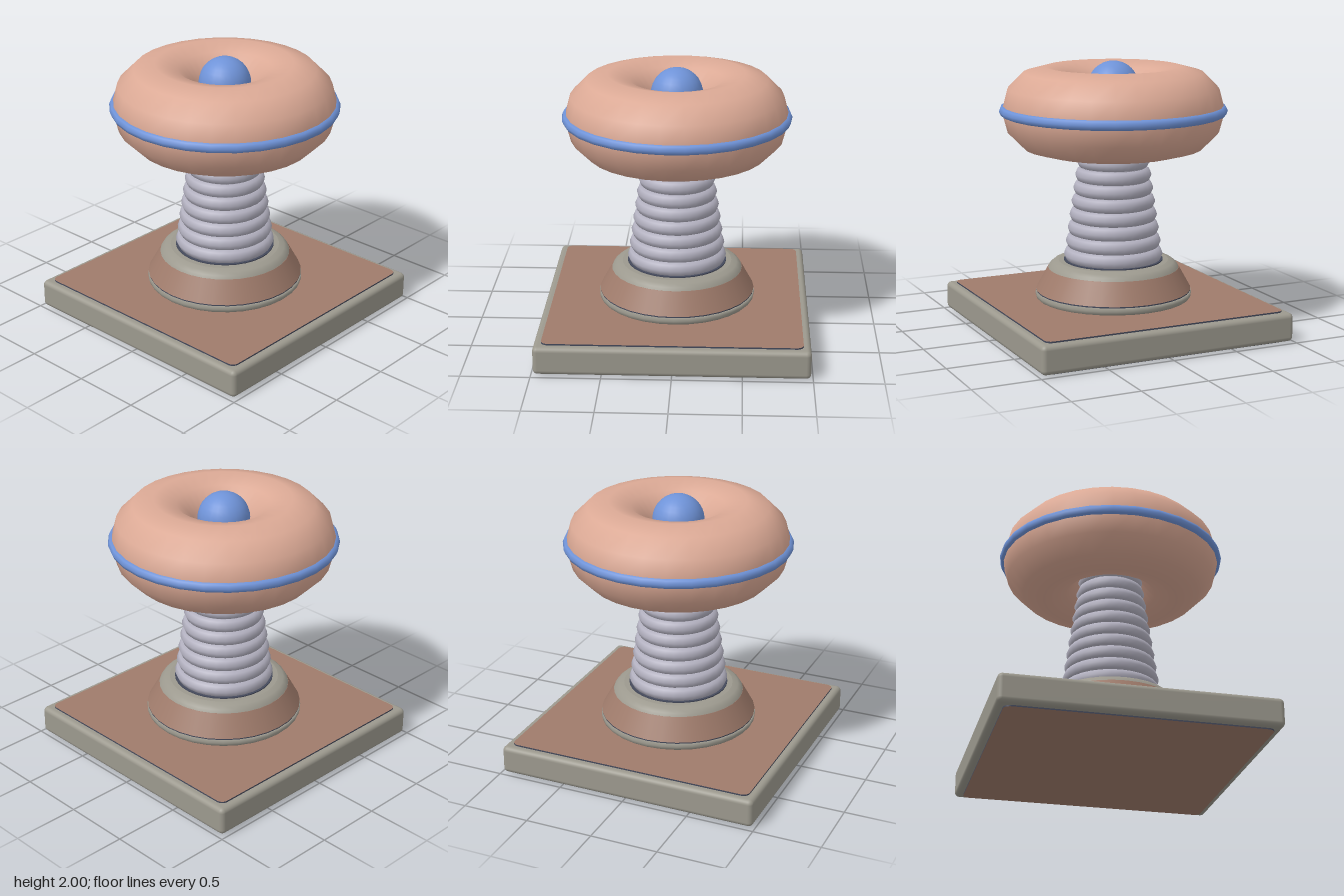
import * as THREE from 'three';
import { RoundedBoxGeometry } from 'three/addons/geometries/RoundedBoxGeometry.js';

const material = (name, color, side = THREE.FrontSide) => {
  const m = new THREE.MeshStandardMaterial({ color, side });
  m.name = name;
  return m;
};

export function createModel() {
  const stone = material('stone grey', 0x9c998e);
  const brown = material('warm brown', 0x9f7b6b);
  const pink = material('dusty pink', 0xdba995);
  const silver = material('silver', 0xb3b1c0);
  const blue = material('blue', 0x6f93d8);
  const dark = material('dark trim', 0x454a5c);

  const model = new THREE.Group();
  model.name = 'torusTower';

  const add = (name, geometry, mat, y = 0) => {
    const mesh = new THREE.Mesh(geometry, mat);
    mesh.name = name;
    mesh.position.y = y;
    model.add(mesh);
    return mesh;
  };
  const ring = (R, r, sides, segments) =>
    new THREE.TorusGeometry(R, r, sides, segments).rotateX(Math.PI / 2);
  const lathe = (points) =>
    new THREE.LatheGeometry(points.map(([x, y]) => new THREE.Vector2(x, y)), 32);

  // Square base slab
  add('baseSlab', new RoundedBoxGeometry(1.97, 0.21, 1.97, 3, 0.035), stone, 0.115);

  // Rounded inlay panels on the top and underside of the slab
  const h = 0.93, c = 0.05;
  const outline = new THREE.Shape();
  outline.absarc(h - c, h - c, c, 0, Math.PI / 2);
  outline.absarc(c - h, h - c, c, Math.PI / 2, Math.PI);
  outline.absarc(c - h, c - h, c, Math.PI, Math.PI * 1.5);
  outline.absarc(h - c, c - h, c, Math.PI * 1.5, Math.PI * 2);
  const panel = new THREE.ExtrudeGeometry(outline, { depth: 0.012, bevelEnabled: false, curveSegments: 5 })
    .rotateX(-Math.PI / 2);
  add('topPanel', panel, [brown, dark], 0.219);
  add('bottomPanel', panel, [brown, dark], 0);

  // Pedestal: rounded foot, dark seam, sloped collar and rounded cap
  add('pedestalFoot', lathe([[0, 0.225], [0.565, 0.225], [0.58, 0.24], [0.585, 0.26], [0.58, 0.285], [0, 0.285]]), stone);
  add('pedestalSeam', new THREE.CylinderGeometry(0.578, 0.578, 0.012, 32), dark, 0.289);
  add('pedestalCollar', new THREE.CylinderGeometry(0.49, 0.58, 0.163, 32), brown, 0.376);
  add('pedestalCap', lathe([[0.49, 0.455], [0.475, 0.48], [0.45, 0.5], [0.41, 0.512]]), stone);
  add('pedestalCapTop', new THREE.CylinderGeometry(0.41, 0.41, 0.01, 32), stone, 0.507);
  add('columnSeam', new THREE.CylinderGeometry(0.37, 0.37, 0.008, 32), dark, 0.516);

  // Tapered column of stacked rings
  add('columnCore', new THREE.CylinderGeometry(0.17, 0.33, 1.27, 32), silver, 1.135);
  for (let i = 0; i < 13; i++) {
    add(`columnRing${i + 1}`, ring(0.313 - i * 0.0143, 0.056, 8, 30), silver, 0.56 + i * 0.1);
  }

  // Large torus with its equator band and central ball
  add('topTorus', ring(0.5, 0.32, 12, 30), pink, 1.64);
  add('equatorBand', ring(0.8, 0.04, 8, 30), blue, 1.64);
  add('centreBall', new THREE.SphereGeometry(0.19, 24, 16), blue, 1.81);

  return model;
}
